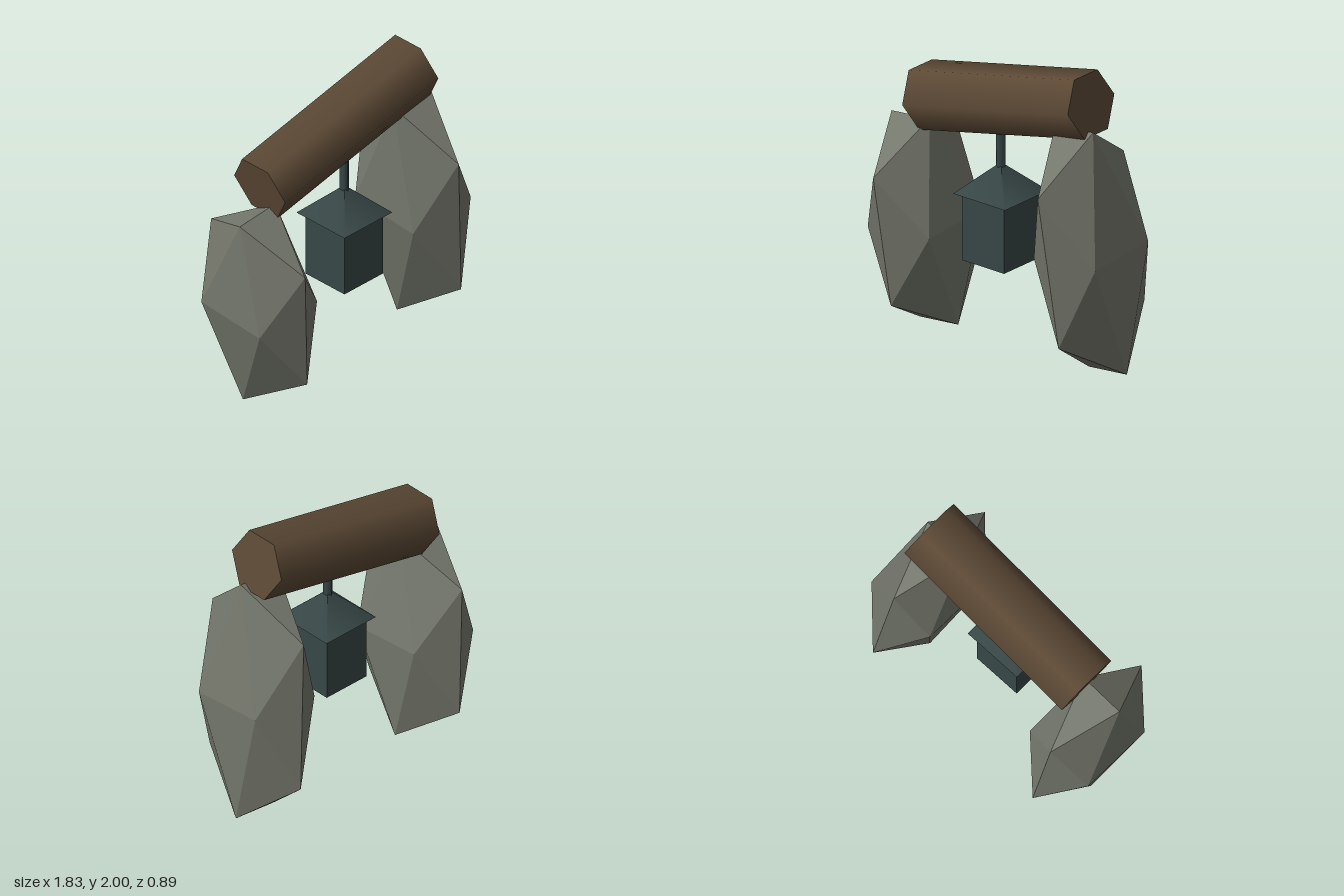
import * as THREE from 'three';

export function createModel() {
  const model = new THREE.Group();
  model.name = 'stoneLanternArch';

  const material = (name, color, flatShading = false) => {
    const m = new THREE.MeshStandardMaterial({ color, flatShading });
    m.name = name;
    return m;
  };
  const stone = material('greyStone', 0x74776c, true);
  const wood = material('brownWood', 0x5c4935);
  const metal = material('darkMetal', 0x384747);

  const add = (parent, name, geometry, mat, x, y, z) => {
    const mesh = new THREE.Mesh(geometry, mat);
    mesh.name = name;
    mesh.position.set(x, y, z);
    parent.add(mesh);
    return mesh;
  };

  // Two tall faceted boulders, stretched and leaning slightly
  const boulder = (name, x, y, height) => {
    const rock = add(model, name, new THREE.IcosahedronGeometry(1, 0), stone, x, y, 0);
    rock.scale.set(0.292, height, 0.478);
    rock.rotation.set(0.08, 0, 0.1);
  };
  boulder('rightBoulder', -0.668, 0.704, 0.81);
  boulder('leftBoulder', 0.664, 0.855, 0.95);

  // Six-sided log resting across the boulders
  const log = add(model, 'logBeam', new THREE.CylinderGeometry(0.22, 0.22, 1.36, 6), wood, 0, 1.67, 0);
  log.rotation.z = Math.PI / 2 + 0.22;

  // Hanging lantern, slightly forward of the log's centre line
  const lantern = new THREE.Group();
  lantern.name = 'lantern';
  lantern.position.z = 0.07;
  model.add(lantern);
  add(lantern, 'lanternRod', new THREE.CylinderGeometry(0.03, 0.03, 0.28, 6), metal, 0, 1.37, 0);
  const roof = add(lantern, 'lanternRoof', new THREE.ConeGeometry(0.293, 0.2, 4), metal, 0, 1.178, 0);
  roof.rotation.y = Math.PI / 4;
  add(lantern, 'lanternBody', new THREE.BoxGeometry(0.335, 0.445, 0.335), metal, 0, 0.857, 0);

  return model;
}
